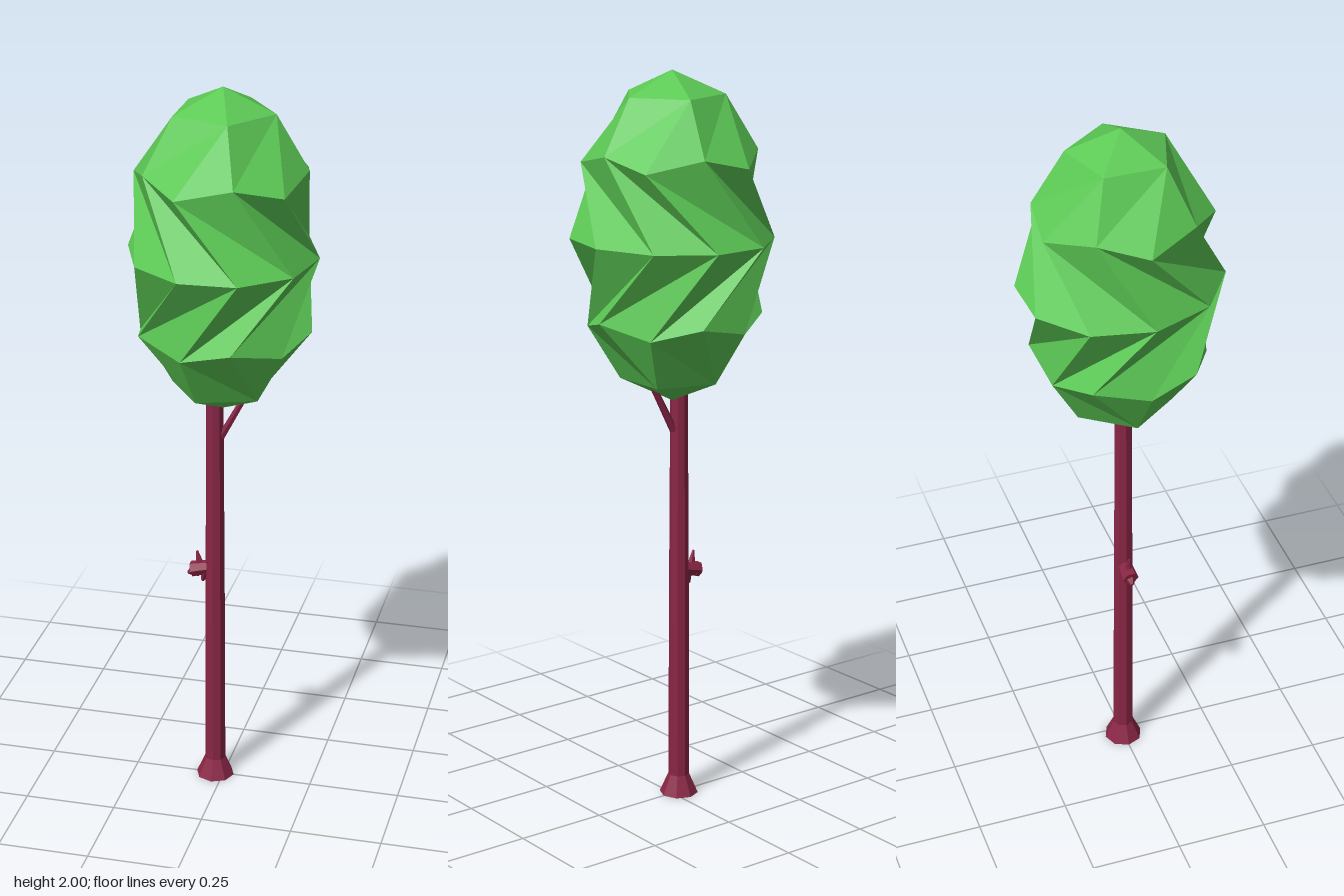
import * as THREE from 'three';

const bark = new THREE.MeshStandardMaterial({ color: 0x8a2646, flatShading: true });
const leaf = new THREE.MeshStandardMaterial({ color: 0x5cc955, flatShading: true });

function addMesh(parent, name, geometry, material) {
  const mesh = new THREE.Mesh(geometry, material);
  mesh.name = name;
  parent.add(mesh);
  return mesh;
}

// Tapered limb between two points
function limb(parent, name, from, to, r0, r1, sides) {
  const a = new THREE.Vector3(...from), b = new THREE.Vector3(...to);
  const dir = b.clone().sub(a);
  const mesh = addMesh(parent, name, new THREE.CylinderGeometry(r1, r0, dir.length(), sides), bark);
  mesh.position.copy(a).add(b).multiplyScalar(0.5);
  mesh.quaternion.setFromUnitVectors(new THREE.Vector3(0, 1, 0), dir.normalize());
  return mesh;
}

const polar = (deg, r, y) => {
  const a = THREE.MathUtils.degToRad(deg);
  return [r * Math.cos(a), y, -r * Math.sin(a)];
};

// Faceted crown: a subdivided icosahedron whose rings are twisted against each other
function crownGeometry() {
  const centre = 1.56, positions = [];
  const offsets = [2, 6, 6, 3, 1], radii = [0.253, 0.256, 0.27, 0.275, 0.268];
  const middle = Array.from({ length: 10 }, (_, k) => polar(36 * k + offsets[k % 5], radii[k % 5], centre));

  for (const side of [1, -1]) {
    const shift = side > 0 ? 0 : 1; // the lower half is turned by one step
    const tri = (a, b, c) => positions.push(...a, ...(side > 0 ? [...b, ...c] : [...c, ...b]));
    const pole = [0, centre + side * 0.437, 0];
    const cap = Array.from({ length: 5 }, (_, i) => polar(72 * i + 36 * shift, 0.138, centre + side * 0.375));
    const ring = Array.from({ length: 10 }, (_, k) => (k + shift) % 2
      ? polar(36 * k, 0.237, centre + side * 0.2)
      : polar(36 * k + 2, 0.223, centre + side * 0.232));
    const R = k => ring[(k + 20) % 10], M = k => middle[k % 10];

    for (let i = 0; i < 5; i++) {
      const next = cap[(i + 1) % 5], k = 2 * i + shift;
      tri(pole, cap[i], next);
      tri(cap[i], R(k - 2), R(k - 1));
      tri(cap[i], R(k - 1), R(k));
      tri(cap[i], R(k), next);
    }
    for (let k = 0; k < 10; k++) {
      tri(R(k), M(k + 1), M(k + 2));
      tri(R(k), M(k + 2), R(k + 1));
    }
  }
  const geometry = new THREE.BufferGeometry();
  geometry.setAttribute('position', new THREE.Float32BufferAttribute(positions, 3));
  geometry.computeVertexNormals();
  return geometry;
}

export function createModel() {
  const tree = new THREE.Group();
  tree.name = 'tree';

  // Trunk with flared foot
  const profile = [[0, 0], [0.053, 0], [0.029, 0.055], [0.027, 0.6], [0.023, 1.25], [0, 1.25]];
  const trunk = addMesh(tree, 'trunk',
    new THREE.LatheGeometry(profile.map(p => new THREE.Vector2(...p)), 8), bark);
  trunk.position.x = -0.023;

  // Upper branch reaching into the crown
  limb(tree, 'upperBranch', [-0.005, 1.04, 0], [0.08, 1.2, 0], 0.011, 0.008, 6);

  // Broken stub with a small twig
  const stub = new THREE.Group();
  stub.name = 'branchStub';
  tree.add(stub);
  limb(stub, 'stubBase', [-0.03, 0.65, 0], [-0.088, 0.636, 0], 0.018, 0.022, 6);
  limb(stub, 'stubTip', [-0.075, 0.635, 0], [-0.099, 0.623, 0], 0.02, 0.005, 5);
  limb(stub, 'stubTwig', [-0.062, 0.64, 0], [-0.073, 0.692, 0], 0.014, 0.003, 5);
  limb(stub, 'stubKnot', [-0.05, 0.63, 0], [-0.058, 0.603, 0], 0.014, 0.004, 5);

  addMesh(tree, 'crown', crownGeometry(), leaf);
  return tree;
}
